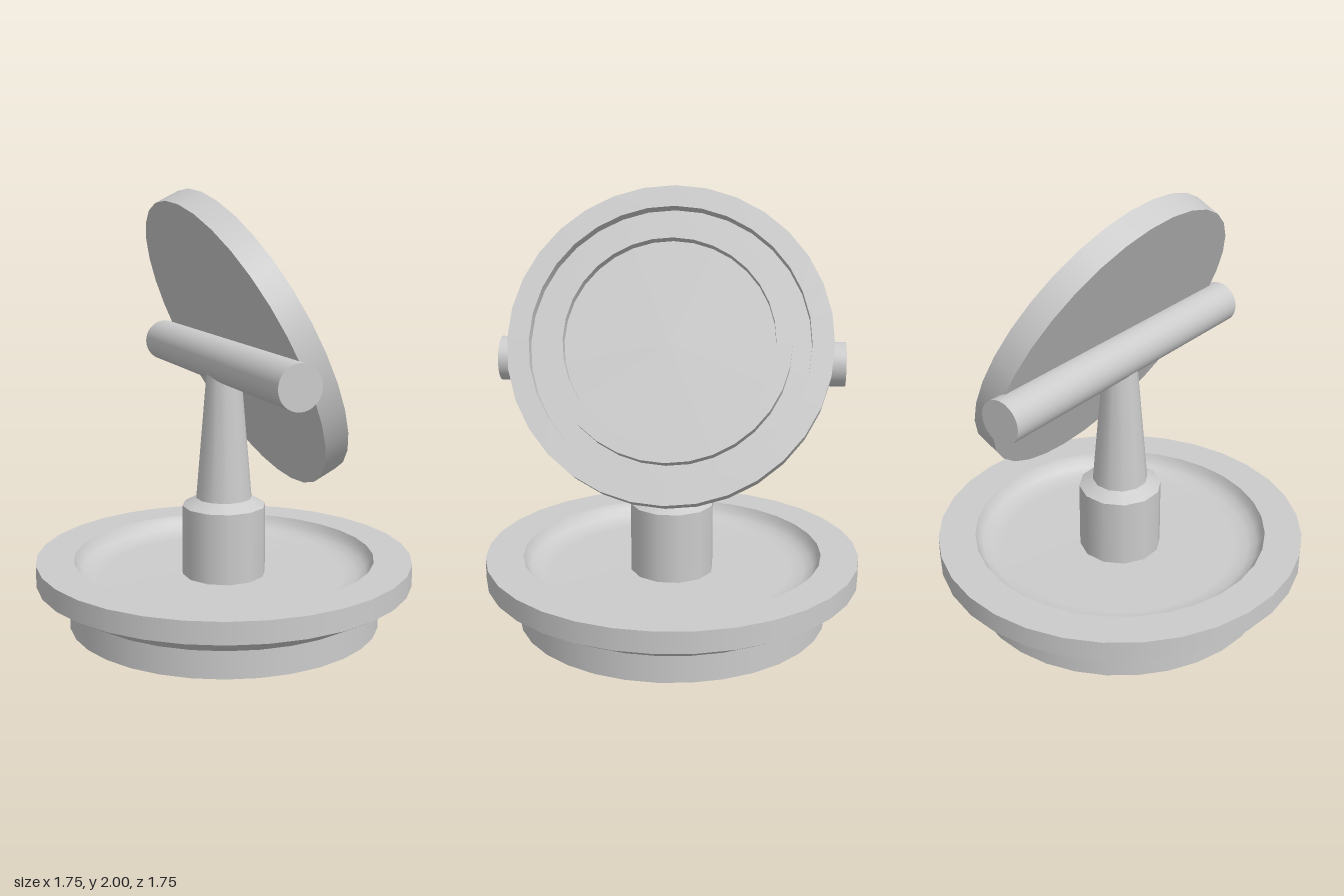
import * as THREE from 'three';
import { mergeGeometries } from 'three/addons/utils/BufferGeometryUtils.js';

const material = new THREE.MeshStandardMaterial({ color: 0xcccccc });

// Turned solid: each band is smooth, with a sharp edge between bands
function turned(name, segments, bands) {
  const parts = bands.map((band) =>
    new THREE.LatheGeometry(band.map(([r, y]) => new THREE.Vector2(r, y)), segments));
  const mesh = new THREE.Mesh(mergeGeometries(parts), material);
  mesh.name = name;
  return mesh;
}

// Straight bands joining consecutive profile points
const sharp = (points) => points.slice(1).map((p, i) => [points[i], p]);

export function createModel() {
  const group = new THREE.Group();
  group.name = 'tiltingDishStand';

  // Base tray: foot, flared rim and hollow with a rounded floor edge
  group.add(turned('baseTray', 32, [
    ...sharp([[0, 0], [0.725, 0], [0.725, 0.125], [0.875, 0.21], [0.875, 0.31], [0.70, 0.31]]),
    [[0.70, 0.31], [0.688, 0.28], [0.665, 0.252], [0.625, 0.234], [0.56, 0.225], [0, 0.225]],
  ]));

  // Twelve-sided collar with a bevelled shoulder, and tapering post
  const post = turned('post', 12, [
    [[0.195, 0.22], [0.195, 0.555]],
    [[0.195, 0.555], [0.13, 0.59]],
    [[0.13, 0.59], [0.078, 1.2]],
  ]);
  post.rotation.y = Math.PI / 12;
  group.add(post);

  // Horizontal axle across the post top
  const axle = new THREE.Mesh(new THREE.CylinderGeometry(0.1, 0.1, 1.56, 32), material);
  axle.name = 'axle';
  axle.rotation.x = Math.PI / 2;
  axle.position.y = 1.23;
  group.add(axle);

  // Tilted disc: outer rim, groove, raised ring and recessed centre
  const disc = turned('disc', 32, sharp([
    [0, 0], [0.7245, 0], [0.7245, 0.12], [0.627, 0.12], [0.627, 0.06],
    [0.542, 0.06], [0.542, 0.147], [0.47, 0.147], [0.47, 0.095], [0, 0.095],
  ]));
  disc.position.set(0.035, 1.2975, 0);
  disc.rotation.z = THREE.MathUtils.degToRad(-64.3);
  group.add(disc);

  return group;
}
